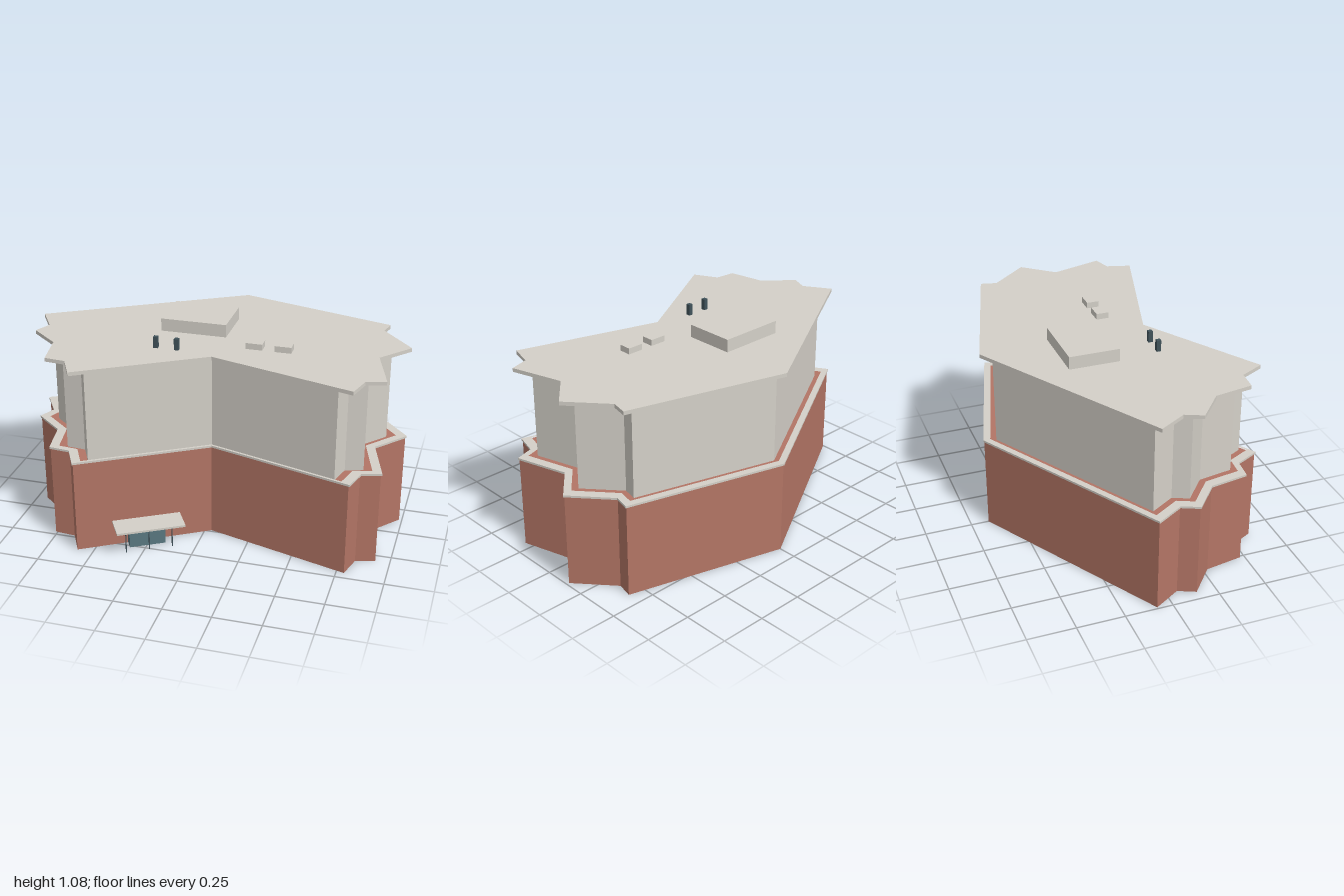
import * as THREE from 'three';

// Building footprint as [x, z], going round from the back corner
const FOOTPRINT = [
  [0, -0.655], [0.835, -0.42], [0.815, -0.335], [0.985, -0.14],
  [0.845, 0.025], [0.925, 0.3], [0.825, 0.33], [0.79, 0.455],
  [0.035, 0.238], [-0.585, 0.61], [-0.65, 0.485], [-0.76, 0.475],
  [-0.795, 0.275], [-0.945, 0.15], [-0.905, 0.06], [-0.99, -0.08],
];

const material = (color) => new THREE.MeshStandardMaterial({ color, flatShading: true });

export function createModel() {
  const model = new THREE.Group();
  const brick = material(0xb37565);
  const concrete = material(0xd4d0c8);
  const glass = material(0x5a7880);
  const dark = material(0x40525a);

  const add = (parent, name, geometry, mat, x = 0, y = 0, z = 0) => {
    const mesh = new THREE.Mesh(geometry, mat);
    mesh.name = name;
    mesh.position.set(x, y, z);
    parent.add(mesh);
    return mesh;
  };

  // Box standing on height y
  const block = (parent, name, mat, x, y, z, w, h, d) =>
    add(parent, name, new THREE.BoxGeometry(w, h, d), mat, x, y + h / 2, z);

  // Footprint scaled about the centre and raised from y0 to y1, optionally hollow
  const outline = (s) => FOOTPRINT.map(([x, z]) => new THREE.Vector2(x * s, -z * s));
  const storey = (name, mat, scale, y0, y1, holeScale) => {
    const shape = new THREE.Shape(outline(scale));
    if (holeScale) shape.holes.push(new THREE.Path(outline(holeScale)));
    const geometry = new THREE.ExtrudeGeometry(shape, { depth: y1 - y0, bevelEnabled: false });
    geometry.rotateX(-Math.PI / 2);
    add(model, name, geometry, mat, 0, y0, 0);
  };

  // Main volumes
  storey('brickGroundFloor', brick, 1, 0, 0.5);
  storey('parapetCoping', concrete, 1.007, 0.5, 0.511, 0.95);
  storey('upperFloor', concrete, 0.9, 0.5, 0.99);
  storey('roofSlab', concrete, 1, 0.99, 1.01);

  // Rooftop plant and vents
  block(model, 'plantRoom', concrete, -0.135, 1.01, -0.155, 0.35, 0.068, 0.265);
  for (const x of [0.218, 0.368]) {
    block(model, 'roofUnit', concrete, x, 1.01, 0.063, 0.086, 0.032, 0.065);
  }
  for (const x of [-0.268, -0.158]) {
    block(model, 'ventPipe', dark, x, 1.01, 0.197, 0.023, 0.06, 0.023);
  }

  // Entrance set square to the angled front wall
  const entrance = new THREE.Group();
  entrance.name = 'entrance';
  entrance.position.set(-0.226, 0, 0.505);
  entrance.rotation.y = Math.PI / 6;
  model.add(entrance);
  block(entrance, 'canopy', concrete, 0, 0.147, 0, 0.358, 0.011, 0.135);
  block(entrance, 'glassDoors', glass, 0, 0, -0.07, 0.19, 0.133, 0.058);
  for (const x of [-0.122, 0, 0.122]) {
    const post = new THREE.CylinderGeometry(0.003, 0.003, 0.147, 8);
    add(entrance, 'canopyPost', post, dark, x, 0.0735, 0);
  }

  return model;
}
